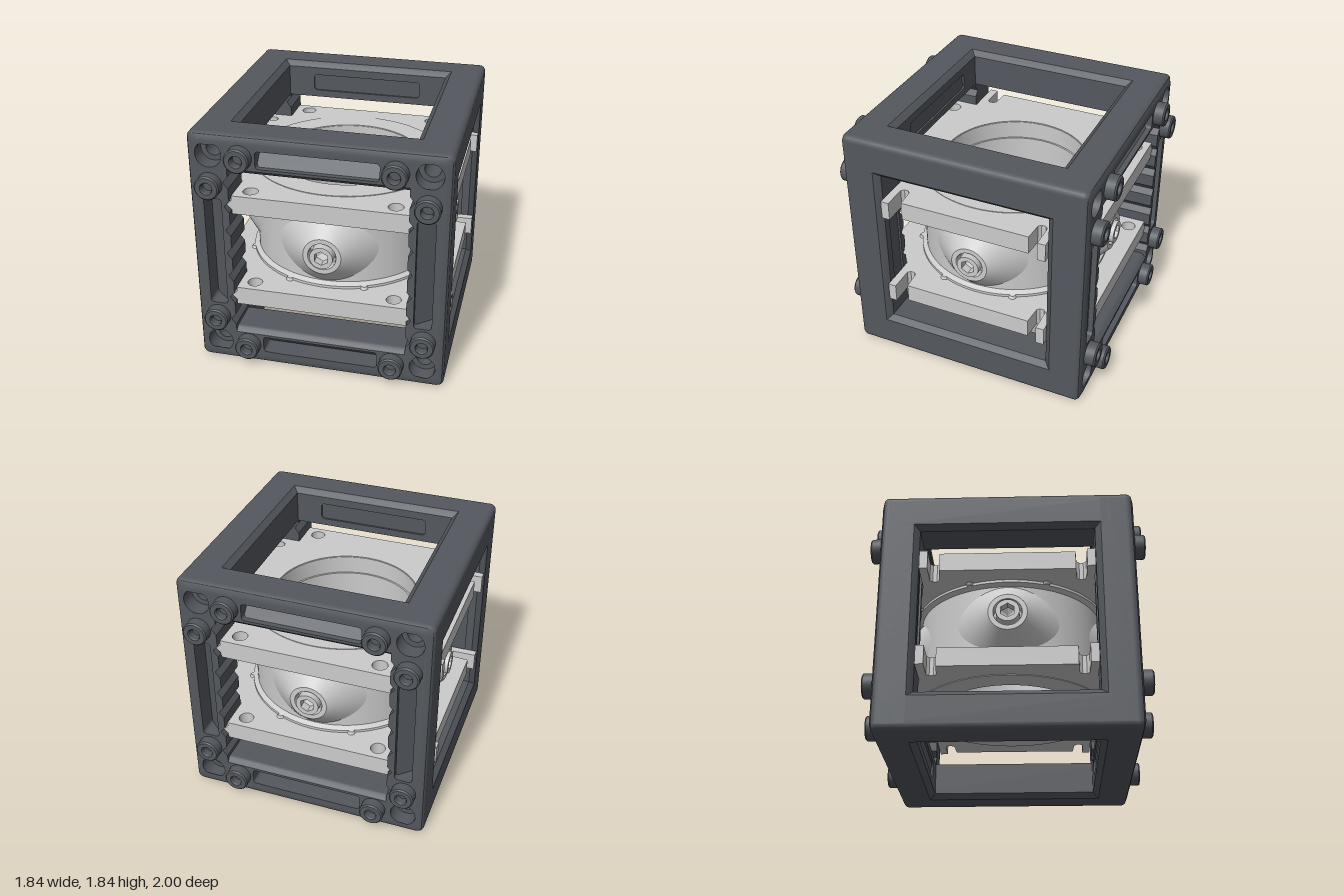
import * as THREE from 'three';
import { toCreasedNormals } from 'three/addons/utils/BufferGeometryUtils.js';

const dark = new THREE.MeshStandardMaterial({ color: 0x54585e, side: THREE.DoubleSide });
const grey = new THREE.MeshStandardMaterial({ color: 0xcccccc, side: THREE.DoubleSide });
const V = (x, y) => new THREE.Vector2(x, y);
const HALF = 0.92, WIN = 0.635, DEPTH = HALF - WIN;

function add(parent, name, geo, mat) {
  const mesh = new THREE.Mesh(toCreasedNormals(geo, 0.5), mat);
  mesh.name = name;
  parent.add(mesh);
  return mesh;
}
const extrude = (shape, depth, steps = 1) =>
  new THREE.ExtrudeGeometry(shape, { depth, steps, bevelEnabled: false, curveSegments: 20 });
const lathe = (pts, seg = 40) => new THREE.LatheGeometry(pts.map(p => V(...p)), seg);
const circle = (x, y, r) => new THREE.Path().absarc(x, y, r, 0, Math.PI * 2, true);

// Rounded rectangle outline
function roundRect(path, x0, y0, x1, y1, r) {
  path.absarc(x1 - r, y1 - r, r, 0, Math.PI / 2);
  path.absarc(x0 + r, y1 - r, r, Math.PI / 2, Math.PI);
  path.absarc(x0 + r, y0 + r, r, Math.PI, Math.PI * 1.5);
  path.absarc(x1 - r, y0 + r, r, Math.PI * 1.5, Math.PI * 2);
  path.closePath();
  return path;
}

// Square frame with toothed window, slots and corner holes
function frameGeometry() {
  const shape = roundRect(new THREE.Shape(), -HALF, -HALF, HALF, HALF, 0.045);
  const right = [];
  for (let i = -3; i <= 3; i++) {
    const y = i * 0.187;
    right.push(V(WIN, y - 0.045), V(WIN + 0.035, y), V(WIN, y + 0.045));
  }
  const side = [V(WIN, -WIN), ...right, V(WIN, WIN)];
  shape.holes.push(new THREE.Path([...side, ...side.map(p => V(-p.x, -p.y))]));
  for (const s of [-1, 1]) {
    const [a, b] = s > 0 ? [0.69, 0.82] : [-0.82, -0.69];
    shape.holes.push(roundRect(new THREE.Path(), -0.43, a, 0.43, b, 0.025));
    shape.holes.push(roundRect(new THREE.Path(), a, -0.43, b, 0.43, 0.025));
    for (const t of [-1, 1]) shape.holes.push(circle(s * 0.765, t * 0.765, 0.095));
  }
  const geo = extrude(shape, DEPTH, 20);
  const p = geo.attributes.position, R = 0.045;
  for (let i = 0; i < p.count; i++) {
    const x = p.getX(i), y = p.getY(i), z = p.getZ(i), m = Math.max(Math.abs(x), Math.abs(y));
    const front = DEPTH - z;
    if (m > 0.88) {
      // round the outer front edge, chamfer the side-window edge
      const k = Math.max(0, R - front);
      const inset = R - Math.sqrt(Math.max(0, R * R - k * k)) + Math.max(0, 0.04 - z);
      p.setXY(i, x * (1 - inset / HALF), y * (1 - inset / HALF));
    } else if (Math.abs(x) < 0.68 && Math.abs(Math.abs(y) - WIN) < 0.003) {
      p.setY(i, y + Math.sign(y) * Math.max(0, 0.035 - front));
    }
  }
  return geo.translate(0, 0, WIN);
}

function buildFace() {
  const face = new THREE.Group();
  add(face, 'toothedFrame', frameGeometry(), dark);
  const toX = new THREE.Matrix4().makeBasis(
    new THREE.Vector3(0, 1, 0), new THREE.Vector3(0, 0, 1), new THREE.Vector3(1, 0, 0));
  for (let i = 0; i < 4; i++) {
    // sloping slot floor
    const wedge = new THREE.Shape([V(0.685, 0.885), V(0.685, 0.65), V(0.825, 0.65), V(0.825, 0.76)]);
    add(face, 'slotFloor', extrude(wedge, 0.87).applyMatrix4(toX).translate(-0.435, 0, 0)
      .rotateZ(i * Math.PI / 2), dark);
    // pair of round pegs with a socket
    for (const s of [-1, 1]) {
      const peg = lathe([[0.09, 0.88], [0.09, 0.99], [0.08, 1], [0.046, 1], [0.04, 0.99], [0.04, 0.94], [0, 0.94]], 32)
        .rotateX(Math.PI / 2).translate(s * 0.54, 0.765, 0).rotateZ(i * Math.PI / 2);
      add(face, 'peg', peg, dark);
    }
  }
  return face;
}

// Cross-shaped plate with bore, holes, spring slots and side ridges
function buildPlate() {
  const plate = new THREE.Group(), E = 0.88, W = 0.63;
  const pts = [];
  for (const [sx, sz] of [[1, 1], [-1, 1], [-1, -1], [1, -1]]) {
    const q = [[E, 0.49], [0.74, 0.5], [0.72, 0.52], [0.72, 0.55], [0.74, 0.57], [0.92, 0.57],
      [0.92, W], [W, W], [W, E]].map(([x, z]) => V(x * sx, z * sz));
    pts.push(...(sx * sz > 0 ? q : q.reverse()));
  }
  const shape = new THREE.Shape(pts);
  shape.holes.push(circle(0, 0, 0.545));
  for (const sx of [-1, 1]) for (const sz of [-1, 1]) shape.holes.push(circle(sx * 0.52, sz * 0.78, 0.055));
  add(plate, 'plate', extrude(shape, 0.14).rotateX(-Math.PI / 2).translate(0, 0.305, 0), grey);
  for (const sx of [-1, 1]) for (const sz of [-1, 1])
    add(plate, 'ridge', new THREE.BoxGeometry(0.05, 0.05, 0.23).rotateZ(Math.PI / 4)
      .translate(sx * 0.63, 0.375, sz * 0.765), grey);
  // shallow raised ring on the outer face and small tabs below
  add(plate, 'plateRing', lathe([[0.55, 0.44], [0.727, 0.44], [0.727, 0.45], [0.55, 0.45], [0.55, 0.44]], 72), grey);
  for (let i = 0; i < 8; i++)
    add(plate, 'ringTab', new THREE.CylinderGeometry(0.03, 0.02, 0.02, 12).translate(0, 0.295, 0.735)
      .rotateY((i + 0.5) * Math.PI / 4), grey);
  return plate;
}

// Conical boss with a hex-socket screw
function buildBoss() {
  const boss = new THREE.Group();
  add(boss, 'bossCone', lathe([[0.4, 0.565], [0.15, 0.805], [0.14, 0.815], [0.105, 0.815], [0.1, 0.805], [0.1, 0.74], [0, 0.74]], 48)
    .rotateX(Math.PI / 2), grey);
  const head = new THREE.Shape().absarc(0, 0, 0.085, 0, Math.PI * 2);
  const hex = [];
  for (let i = 0; i < 6; i++) hex.push(V(0.055 * Math.sin(i * Math.PI / 3), 0.055 * Math.cos(i * Math.PI / 3)));
  head.holes.push(new THREE.Path(hex));
  add(boss, 'screwHead', extrude(head, 0.1).translate(0, 0, 0.74), grey);
  add(boss, 'screwSocketFloor', new THREE.ConeGeometry(0.06, 0.03, 6, 1, true).rotateX(-Math.PI / 2)
    .translate(0, 0, 0.765), grey);
  return boss;
}

export function createModel() {
  const model = new THREE.Group();
  const cube = new THREE.Group();
  cube.position.y = HALF;
  model.add(cube);

  // Front and back faces
  for (const a of [0, Math.PI]) {
    const face = buildFace();
    face.name = a ? 'backFace' : 'frontFace';
    face.rotation.y = a;
    cube.add(face);
  }

  // Four corner bars joining front and back
  const bar = new THREE.Shape([V(WIN, WIN), V(0.88, WIN), V(HALF, 0.675)]);
  bar.absarc(0.875, 0.875, 0.045, 0, Math.PI / 2);
  bar.lineTo(0.675, HALF);
  bar.lineTo(WIN, 0.88);
  bar.holes.push(circle(0.765, 0.765, 0.057));
  for (let i = 0; i < 4; i++)
    add(cube, 'cornerBar', extrude(bar, 1.6).translate(0, 0, -0.8).rotateZ(i * Math.PI / 2), dark);

  // Insert: two plates, round housing, four bosses
  const insert = new THREE.Group();
  insert.name = 'insert';
  cube.add(insert);
  for (const a of [0, Math.PI]) {
    const plate = buildPlate();
    plate.name = a ? 'lowerPlate' : 'upperPlate';
    plate.rotation.x = a;
    insert.add(plate);
  }
  add(insert, 'housing', lathe([[0.53, -0.305], [0.735, -0.305], [0.735, -0.285], [0.7, -0.265], [0.7, 0.265],
    [0.735, 0.285], [0.735, 0.305], [0.53, 0.305], [0.53, -0.305]], 96), grey);
  for (let i = 0; i < 4; i++) {
    const boss = buildBoss();
    boss.name = 'screwBoss';
    boss.rotation.y = i * Math.PI / 2;
    insert.add(boss);
  }
  return model;
}
